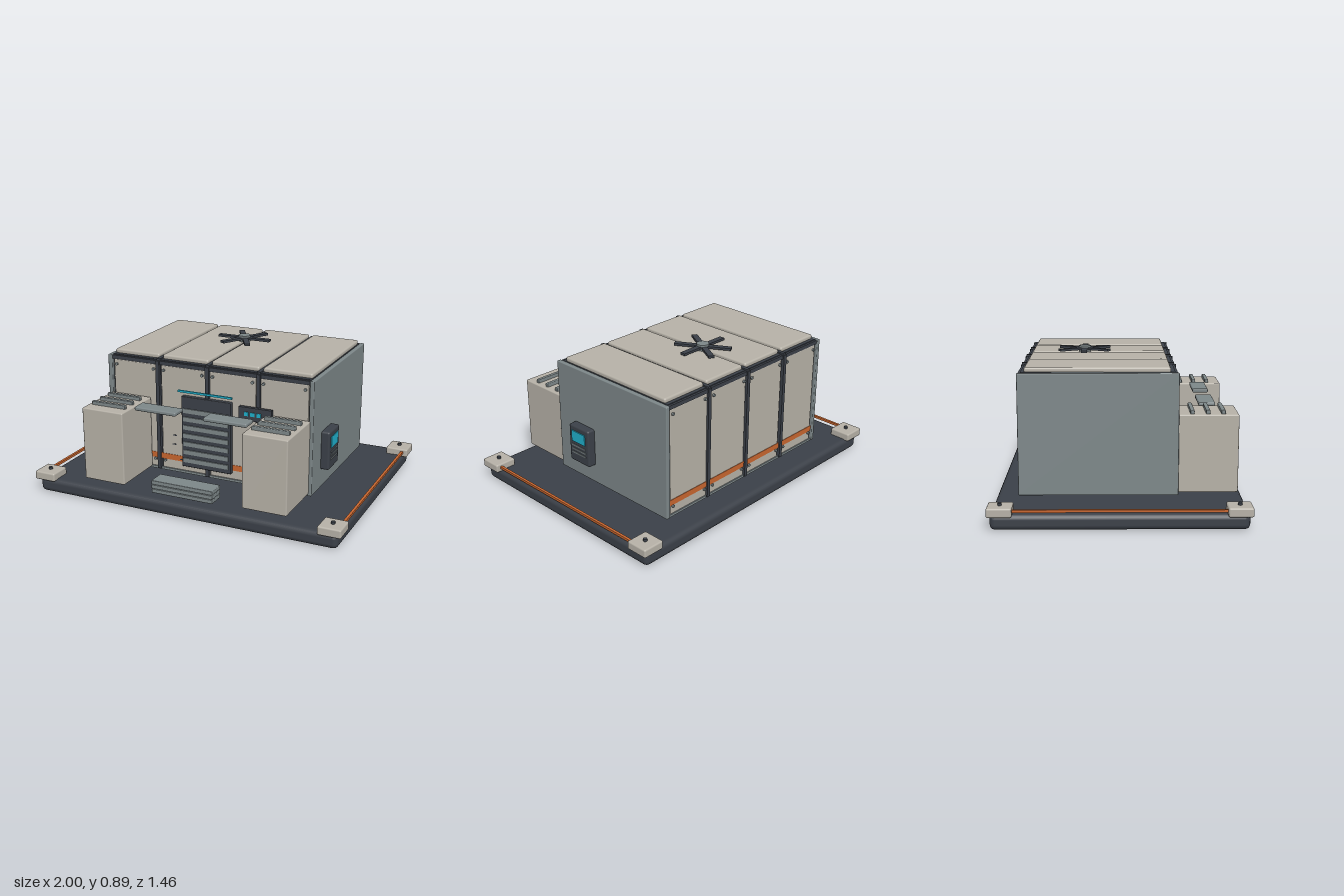
import * as THREE from 'three';
import { RoundedBoxGeometry } from 'three/addons/geometries/RoundedBoxGeometry.js';

const material = (name, color) => {
  const m = new THREE.MeshStandardMaterial({ color });
  m.name = name;
  return m;
};

export function createModel() {
  const root = new THREE.Group();
  root.name = 'fieldShelter';
  const beige = material('warm beige', 0xb6b1a7);
  const slate = material('slate grey', 0x7d8789);
  const dark = material('charcoal', 0x3b4048);
  const orange = material('orange', 0xc8662f);
  const cyan = material('cyan', 0x20b0cc);

  const add = (name, geometry, mat, x = 0, y = 0, z = 0, parent = root) => {
    const mesh = new THREE.Mesh(geometry, mat);
    mesh.name = name;
    mesh.position.set(x, y, z);
    parent.add(mesh);
    return mesh;
  };
  // box given by its limits on each axis, with optional rounded edges
  const block = (name, mat, [x0, x1], [y0, y1], [z0, z1], r = 0) => {
    const s = [x1 - x0, y1 - y0, z1 - z0];
    const g = r ? new RoundedBoxGeometry(...s, 2, r) : new THREE.BoxGeometry(...s);
    return add(name, g, mat, (x0 + x1) / 2, (y0 + y1) / 2, (z0 + z1) / 2);
  };
  // short cylinder whose axis points along z
  const stud = (name, mat, r, h, x, y, z) => {
    const m = add(name, new THREE.CylinderGeometry(r, r, h, 10), mat, x, y, z);
    m.rotation.x = Math.PI / 2;
    return m;
  };

  // base slab, corner pads and side rails
  block('base', dark, [-0.975, 0.975], [0, 0.09], [-0.715, 0.715], 0.03);
  for (const sx of [-1, 1]) {
    for (const sz of [-1, 1]) {
      const x = sx * 0.93, z = sz * 0.66;
      block('cornerPad', beige, [x - 0.07, x + 0.07], [0.08, 0.133], [z - 0.07, z + 0.07], 0.01);
      add('padBolt', new THREE.CylinderGeometry(0.012, 0.012, 0.018, 10), dark, x, 0.138, z);
    }
    const rx = sx * 0.966;
    block('sideRail', orange, [rx - 0.008, rx + 0.008], [0.103, 0.118], [-0.6, 0.6]);
  }

  // dark core and slate side walls
  block('core', dark, [-0.656, 0.656], [0.118, 0.825], [-0.56, 0.315]);
  for (const sx of [-1, 1]) {
    const x = sx * 0.667;
    block('sideWall', slate, [x - 0.014, x + 0.014], [0.115, 0.823], [-0.58, 0.337], 0.006);
  }

  // front and back cladding, ribs, stripes and bolts
  const bays = [-0.495, -0.165, 0.165, 0.495];
  for (const [side, face] of [[1, 0.325], [-1, -0.57]]) {
    const span = (a, b) => [face + side * a, face + side * b].sort((p, q) => p - q);
    for (const x of bays) {
      block('wallPanel', beige, [x - 0.15, x + 0.15], [0.13, 0.795], span(-0.016, 0), 0.005);
      for (const bx of [-0.13, 0.13]) {
        for (const y of [0.18, 0.765]) stud('panelBolt', slate, 0.009, 0.012, x + bx, y, face + side * 0.005);
      }
    }
    block('wallStripe', orange, [-0.65, 0.65], [0.188, 0.224], span(-0.004, 0.003));
    for (const x of [-0.335, 0, 0.335]) {
      block('wallRib', dark, [x - 0.012, x + 0.012], [0.12, 0.82], span(-0.02, 0.012));
    }
    block('topTrim', dark, [-0.655, 0.655], [0.796, 0.82], span(-0.03, 0.004));
    block('bottomTrim', slate, [-0.655, 0.655], [0.115, 0.13], span(-0.03, 0.004));
  }

  // little vent slots on the front panels
  for (const [x, y] of [[-0.275, 0.495], [-0.225, 0.355], [-0.23, 0.295], [-0.18, 0.2], [0.28, 0.46], [0.21, 0.53]]) {
    block('ventSlot', dark, [x - 0.013, x + 0.013], [y - 0.003, y + 0.003], [0.322, 0.329]);
  }

  // roof panels and ribs
  for (const x of [-0.498, -0.166, 0.166, 0.498]) {
    block('roofPanel', beige, [x - 0.154, x + 0.154], [0.82, 0.852], [-0.54, 0.29], 0.012);
  }
  for (const x of [-0.332, 0, 0.332]) {
    block('roofRib', dark, [x - 0.012, x + 0.012], [0.815, 0.833], [-0.575, 0.325]);
  }

  // roof fan
  const fan = new THREE.Group();
  fan.name = 'roofFan';
  fan.position.set(0, 0.872, -0.212);
  root.add(fan);
  for (let i = 0; i < 3; i++) {
    const blade = add('fanBlade', new THREE.BoxGeometry(0.35, 0.014, 0.035), dark, 0, 0, 0, fan);
    blade.rotation.y = (i * Math.PI) / 3;
  }
  add('fanHub', new THREE.CylinderGeometry(0.038, 0.038, 0.038, 16), slate, 0, 0, 0, fan);

  // shutter door with slats and a light bar above
  block('door', dark, [-0.165, 0.165], [0.17, 0.625], [0.31, 0.352], 0.005);
  for (let i = 0; i < 7; i++) {
    const y = 0.215 + i * 0.0535;
    block('doorSlat', slate, [-0.152, 0.152], [y - 0.014, y + 0.014], [0.345, 0.359]);
  }
  block('lightBar', cyan, [-0.18, 0.18], [0.655, 0.667], [0.358, 0.37]);

  // stacked entry step
  for (let i = 0; i < 3; i++) {
    const y = 0.115 + i * 0.027;
    block('step', slate, [-0.2, 0.2], [y, y + 0.025], [0.57, 0.68], 0.004);
  }

  // front cabinets with ridged tops and folding shelves
  for (const sx of [-1, 1]) {
    const range = (a, b) => [sx * a, sx * b].sort((p, q) => p - q);
    block('cabinet', beige, range(0.386, 0.662), [0.127, 0.582], [0.33, 0.68], 0.008);
    for (const z of [0.415, 0.505, 0.592]) {
      block('cabinetRidge', slate, range(0.41, 0.64), [0.578, 0.604], [z - 0.012, z + 0.012], 0.005);
    }
    block('shelf', slate, range(0.09, 0.365), [0.572, 0.596], [0.473, 0.572], 0.008);
  }

  // control strip beside the door
  block('controlStrip', dark, [0.225, 0.435], [0.54, 0.622], [0.347, 0.37]);
  for (const x of [0.275, 0.315, 0.355]) {
    block('controlLight', cyan, [x - 0.013, x + 0.013], [0.57, 0.594], [0.368, 0.375]);
  }
  block('controlMount', dark, [0.29, 0.37], [0.56, 0.6], [0.32, 0.35]);

  // wall terminal on the left side
  block('terminal', dark, [0.675, 0.733], [0.235, 0.475], [0.02, 0.192], 0.012);
  block('terminalScreen', cyan, [0.731, 0.738], [0.372, 0.442], [0.05, 0.165]);
  for (const y of [0.297, 0.321, 0.346]) {
    block('terminalLine', slate, [0.731, 0.737], [y - 0.004, y + 0.004], [0.047, 0.165]);
  }
  return root;
}
